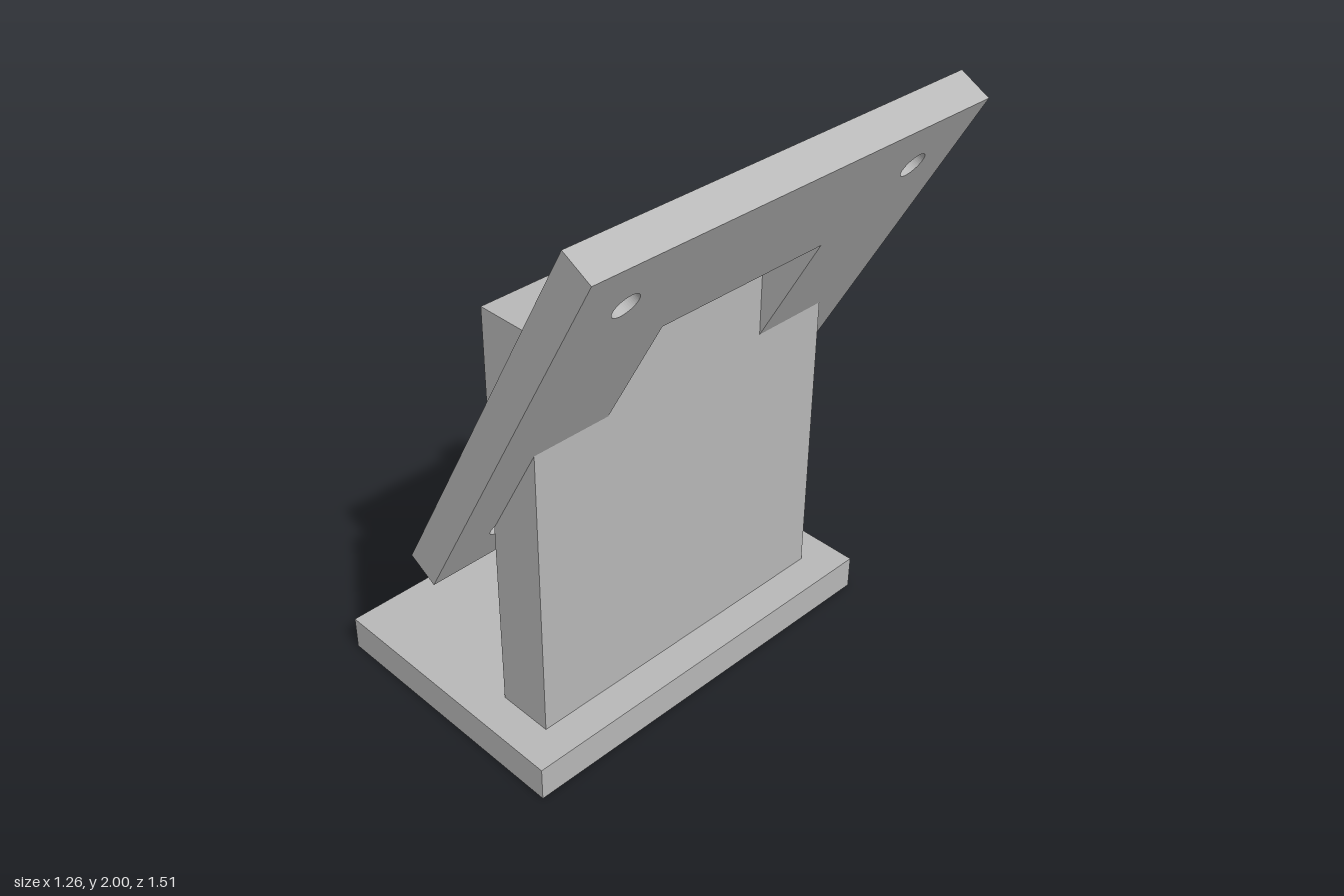
import * as THREE from 'three';

const material = new THREE.MeshStandardMaterial({ color: 0xb8b8b8 });
material.name = 'light grey';

// Horizontal slab centred on its own middle, with round holes [x, z, radius] and an optional square window
function slab(name, length, thickness, width, holes, windowHalf = 0) {
  const l = length / 2, w = width / 2;
  const shape = new THREE.Shape([[-l, -w], [l, -w], [l, w], [-l, w]].map(p => new THREE.Vector2(...p)));
  for (const [x, z, r] of holes) {
    shape.holes.push(new THREE.Path().absarc(x, -z, r, 0, Math.PI * 2, true));
  }
  if (windowHalf) {
    const h = windowHalf;
    shape.holes.push(new THREE.Path([[-h, -h], [-h, h], [h, h], [h, -h]].map(p => new THREE.Vector2(...p))));
  }
  const geometry = new THREE.ExtrudeGeometry(shape, { depth: thickness, bevelEnabled: false, curveSegments: 24 });
  geometry.translate(0, 0, -thickness / 2).rotateX(-Math.PI / 2);
  const mesh = new THREE.Mesh(geometry, material);
  mesh.name = name;
  return mesh;
}

// Box given by its limits
function block(name, x0, x1, y0, y1, z0, z1) {
  const mesh = new THREE.Mesh(new THREE.BoxGeometry(x1 - x0, y1 - y0, z1 - z0), material);
  mesh.position.set((x0 + x1) / 2, (y0 + y1) / 2, (z0 + z1) / 2);
  mesh.name = name;
  return mesh;
}

export function createModel() {
  const group = new THREE.Group();
  group.name = 'mountingBracket';

  // Base with two bolt holes
  const base = slab('basePlate', 0.95, 0.12, 1.44, [[0.04, -0.4, 0.065], [0.04, 0.4, 0.065]]);
  base.position.set(-0.155, 0.06, 0);

  // Upright wall and its stiffening rib
  const post = block('uprightWall', 0.003, 0.2, 0.12, 1.56, -0.597, 0.597);
  const rib = block('supportRib', -0.315, 0.003, 0.12, 1.24, -0.06, 0.057);

  // Tilted plate with a square window and four corner holes
  const corners = [];
  for (const u of [-0.56, 0.56]) for (const v of [-0.56, 0.56]) corners.push([u, v, 0.045]);
  const plate = slab('tiltedPlate', 1.515, 0.115, 1.515, corners, 0.318);
  plate.position.set(0.2125, 1.308, 0);
  plate.rotation.z = Math.atan2(1.33, 0.726);

  group.add(base, post, rib, plate);
  return group;
}
